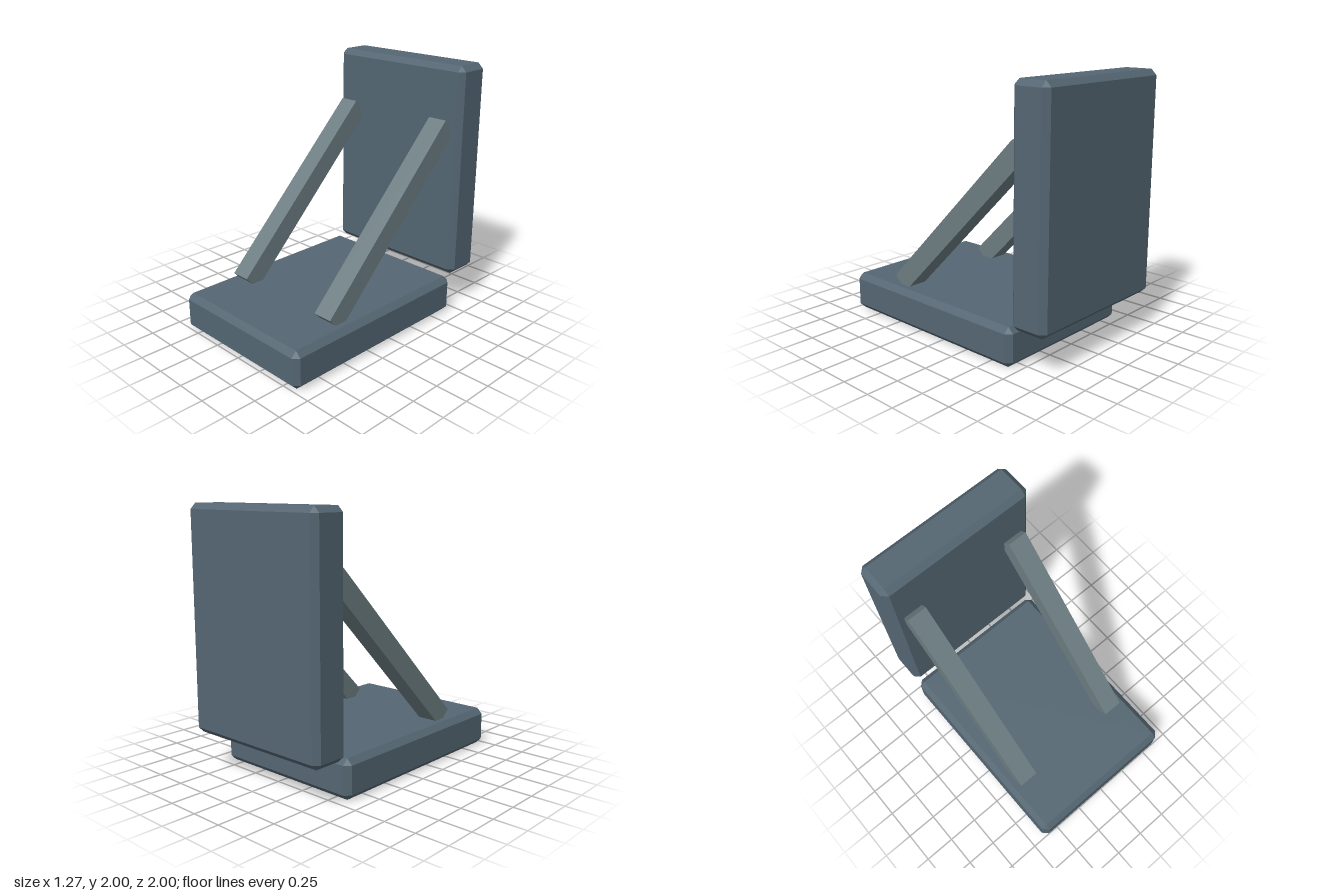
import * as THREE from 'three';
import { ConvexGeometry } from 'three/addons/geometries/ConvexGeometry.js';

const CHAMFER = 0.043;
const slabMaterial = new THREE.MeshStandardMaterial({ color: 0x546672, flatShading: true });
const strutMaterial = new THREE.MeshStandardMaterial({ color: 0x6c7d82, flatShading: true });

// Box with every edge and corner cut flat
function chamferedBox(width, height, depth, c) {
  const half = [width / 2, height / 2, depth / 2];
  const points = [];
  for (const sx of [-1, 1]) for (const sy of [-1, 1]) for (const sz of [-1, 1]) {
    for (let full = 0; full < 3; full++) {
      const [x, y, z] = half.map((h, axis) => (axis === full ? h : h - c));
      points.push(new THREE.Vector3(sx * x, sy * y, sz * z));
    }
  }
  return new ConvexGeometry(points);
}

function addMesh(group, name, geometry, material, x, y, z) {
  const mesh = new THREE.Mesh(geometry, material);
  mesh.name = name;
  mesh.position.set(x, y, z);
  group.add(mesh);
  return mesh;
}

export function createModel() {
  const model = new THREE.Group();
  model.name = 'bracedBracket';

  // Lying base and upright back panel, meeting only along an edge
  addMesh(model, 'baseSlab', chamferedBox(1.274, 0.3, 1.7, CHAMFER), slabMaterial, 0, 0.15, 0.15);
  addMesh(model, 'backPanel', chamferedBox(1.274, 1.7, 0.3, CHAMFER), slabMaterial, 0, 1.15, -0.85);

  // Square diagonal struts, with their ends sunk into both slabs
  const strutGeometry = new THREE.BoxGeometry(0.16, 1.743, 0.158);
  for (const [name, side] of [['leftStrut', 1], ['rightStrut', -1]]) {
    const strut = addMesh(model, name, strutGeometry, strutMaterial, side * 0.468, 0.921, -0.081);
    strut.rotation.x = -Math.PI / 4;
  }
  return model;
}
